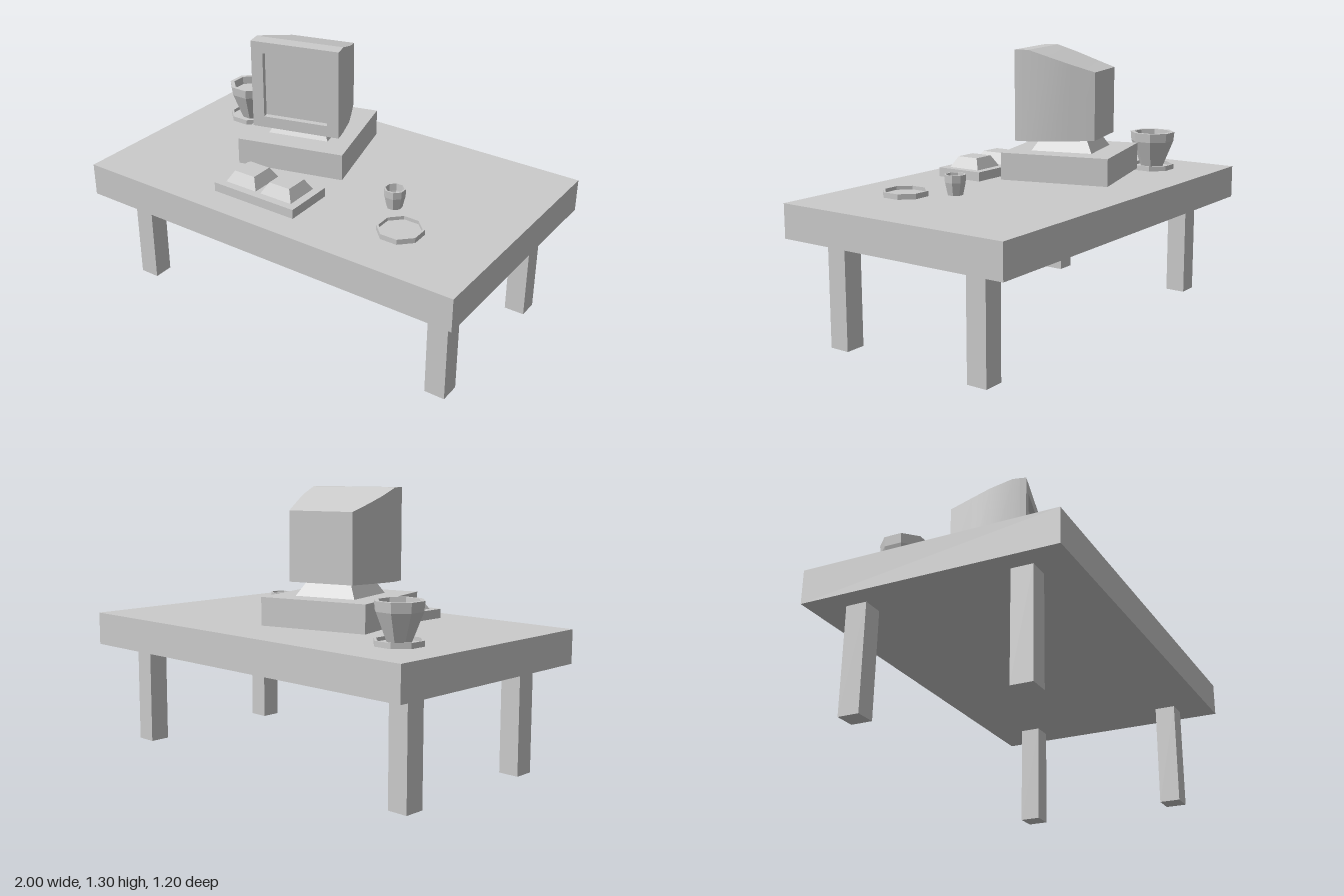
import * as THREE from 'three';
import { toCreasedNormals } from 'three/addons/utils/BufferGeometryUtils.js';

const smooth = new THREE.MeshStandardMaterial({ color: 0xcccccc });
const flat = new THREE.MeshStandardMaterial({ color: 0xcccccc, flatShading: true });

function part(parent, name, geometry, x, y, z, material = flat) {
  const mesh = new THREE.Mesh(geometry, material);
  mesh.name = name;
  mesh.position.set(x, y, z);
  parent.add(mesh);
  return mesh;
}

// Square block tapering from half-width b at the bottom to t at the top, standing on y = 0
function frustum(b, t, h) {
  const geo = new THREE.CylinderGeometry(t * Math.SQRT2, b * Math.SQRT2, h, 4, 1, false, Math.PI / 4);
  return geo.translate(0, h / 2, 0);
}

// Eight-sided vessel with flats on the axes; profile is [half-width, height]
function octagonal(profile) {
  const k = 1 / Math.cos(Math.PI / 8);
  return new THREE.LatheGeometry(profile.map(([r, y]) => new THREE.Vector2(r * k, y)), 8, Math.PI / 8);
}

// Monitor housing: a box whose depth rows follow the narrowing plan and sloping top
function housingGeometry() {
  // [z, half-width, bottom, top] from front to back
  const rows = [
    [0.177, 0.215, 0.87, 1.3],
    [0.14, 0.214, 0.87, 1.3],
    [0.03, 0.206, 0.874, 1.265],
    [-0.06, 0.187, 0.877, 1.235],
    [-0.17, 0.16, 0.88, 1.2],
  ];
  const geo = new THREE.BoxGeometry(1, 1, 1, 1, 1, rows.length - 1);
  const p = geo.attributes.position;
  for (let i = 0; i < p.count; i++) {
    const [z, w, bottom, top] = rows[Math.round((0.5 - p.getZ(i)) * (rows.length - 1))];
    p.setXYZ(i, Math.sign(p.getX(i)) * w, p.getY(i) > 0 ? top : bottom, z);
  }
  return toCreasedNormals(geo, 0.25);
}

// Rectangular frame around the recessed screen
function bezelGeometry() {
  const rect = (target, x0, y0, x1, y1) => {
    target.moveTo(x0, y0);
    target.lineTo(x1, y0);
    target.lineTo(x1, y1);
    target.lineTo(x0, y1);
    target.closePath();
    return target;
  };
  const shape = rect(new THREE.Shape(), -0.215, 0.87, 0.215, 1.3);
  shape.holes.push(rect(new THREE.Path(), -0.158, 0.925, 0.158, 1.245));
  return new THREE.ExtrudeGeometry(shape, { depth: 0.03, bevelEnabled: false });
}

export function createModel() {
  const model = new THREE.Group();
  model.name = 'computerDesk';
  const deskY = 0.66;

  // Table
  const table = new THREE.Group();
  table.name = 'table';
  model.add(table);
  part(table, 'tableTop', new THREE.BoxGeometry(2, 0.16, 1.2), 0, 0.58, 0);
  for (const x of [-0.85, 0.85])
    for (const z of [-0.388, 0.388])
      part(table, 'tableLeg', new THREE.BoxGeometry(0.1, 0.5, 0.1), x, 0.25, z);

  // Computer, turned a little to one side
  const computer = new THREE.Group();
  computer.name = 'computer';
  computer.position.set(-0.215, 0, -0.108);
  computer.rotation.y = Math.PI / 12;
  model.add(computer);
  part(computer, 'computerCase', new THREE.BoxGeometry(0.526, 0.13, 0.526), 0, 0.75, 0);
  part(computer, 'monitorStand', frustum(0.15, 0.115, 0.06), 0, 0.815, 0);
  part(computer, 'monitorHousing', housingGeometry(), 0.01, 0, 0, smooth);
  part(computer, 'monitorBezel', bezelGeometry(), 0.01, 0, 0.177);
  part(computer, 'screen', new THREE.PlaneGeometry(0.316, 0.32), 0.01, 1.085, 0.179);

  // Keyboard with two large raised key blocks
  const keyboard = new THREE.Group();
  keyboard.name = 'keyboard';
  keyboard.position.set(-0.12, deskY, 0.337);
  model.add(keyboard);
  part(keyboard, 'keyboardBase', new THREE.BoxGeometry(0.45, 0.045, 0.25), 0, 0.0225, 0);
  for (const x of [-0.1, 0.1])
    part(keyboard, 'keyBlock', frustum(0.086, 0.056, 0.053), x, 0.045, 0);

  // Dishes: one under the flower pot, one free on the desk
  const dish = octagonal([[0, 0], [0.1, 0], [0.1, 0.025], [0.09, 0.025], [0.09, 0.008], [0, 0.008]]);
  part(model, 'potSaucer', dish, -0.715, deskY, -0.28).scale.set(1.04, 1, 1.04);
  part(model, 'dish', dish, 0.557, deskY, 0.283);

  // Flower pot with soil
  const pot = octagonal([[0, 0.008], [0.05, 0.008], [0.1, 0.145], [0.104, 0.19],
    [0.085, 0.19], [0.083, 0.15], [0, 0.15]]);
  part(model, 'flowerPot', pot, -0.715, deskY, -0.28);

  // Cup
  const cup = octagonal([[0, 0], [0.034, 0], [0.046, 0.06], [0.047, 0.095],
    [0.04, 0.095], [0.038, 0.06], [0.028, 0.01], [0, 0.01]]);
  part(model, 'cup', cup, 0.416, deskY, 0.107);

  return model;
}
